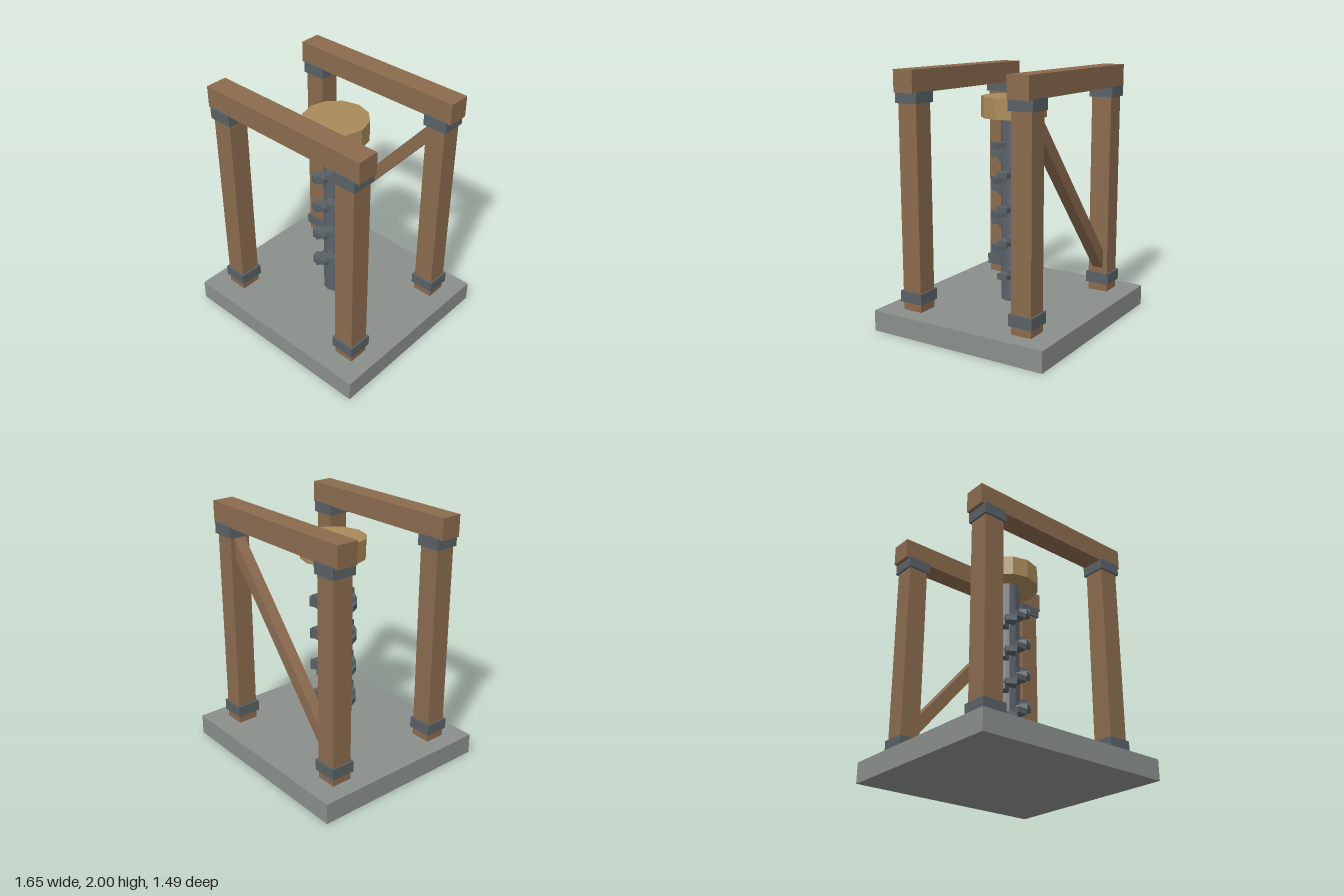
import * as THREE from 'three';

const mat = (name, color) => {
  const m = new THREE.MeshStandardMaterial({ color, flatShading: true });
  m.name = name;
  return m;
};

export function createModel() {
  const stone = mat('stone', 0x8a8f8c);
  const wood = mat('wood', 0x8b6b4e);
  const iron = mat('iron', 0x596165);
  const steel = mat('steel', 0x5c626b);
  const paleWood = mat('paleWood', 0xa88a59);

  const model = new THREE.Group();
  model.name = 'screwPress';

  const add = (name, geometry, material, x, y, z, parent = model) => {
    const mesh = new THREE.Mesh(geometry, material);
    mesh.name = name;
    mesh.position.set(x, y, z);
    parent.add(mesh);
    return mesh;
  };
  const box = (name, w, h, d, material, x, y, z, parent) =>
    add(name, new THREE.BoxGeometry(w, h, d), material, x, y, z, parent);

  // Base slab
  box('base', 1.65, 0.163, 1.49, stone, 0, 0.0815, 0);

  // Two side frames: posts with iron collars and a beam on top
  for (const z of [-0.487, 0.487]) {
    const frame = new THREE.Group();
    frame.name = z > 0 ? 'frontFrame' : 'backFrame';
    model.add(frame);
    for (const x of [-0.6, 0.6]) {
      box('post', 0.165, 1.68, 0.165, wood, x, 1.0, z, frame);
      for (const y of [0.272, 1.798]) box('collar', 0.197, 0.088, 0.197, iron, x, y, z, frame);
    }
    box('beam', 1.456, 0.168, 0.172, wood, 0, 1.916, z, frame);
  }

  // Diagonal brace on the back frame
  const brace = box('brace', 1.75, 0.096, 0.09, wood, 0, 1.05, -0.487);
  brace.rotation.z = Math.atan2(1.23, 1.035);

  // Screw shaft and its round head
  add('screwShaft', new THREE.CylinderGeometry(0.1, 0.1, 1.48, 12), steel, 0, 0.89, 0);
  add('screwHead', new THREE.CylinderGeometry(0.253, 0.253, 0.16, 12), paleWood, 0, 1.7, 0);

  // Double thread: opposite blocks climbing in 30 degree steps
  const thread = new THREE.Group();
  thread.name = 'thread';
  model.add(thread);
  const rows = 24, step = 0.0448;
  for (let i = 0; i < rows; i++) {
    const a = i * Math.PI / 6;
    for (const side of [1, -1]) {
      const block = box('threadBlock', 0.09, step, 0.09, iron,
        side * 0.132 * Math.cos(a), 0.355 + (i + 0.5) * step, -side * 0.132 * Math.sin(a), thread);
      block.rotation.y = a;
    }
  }
  return model;
}
